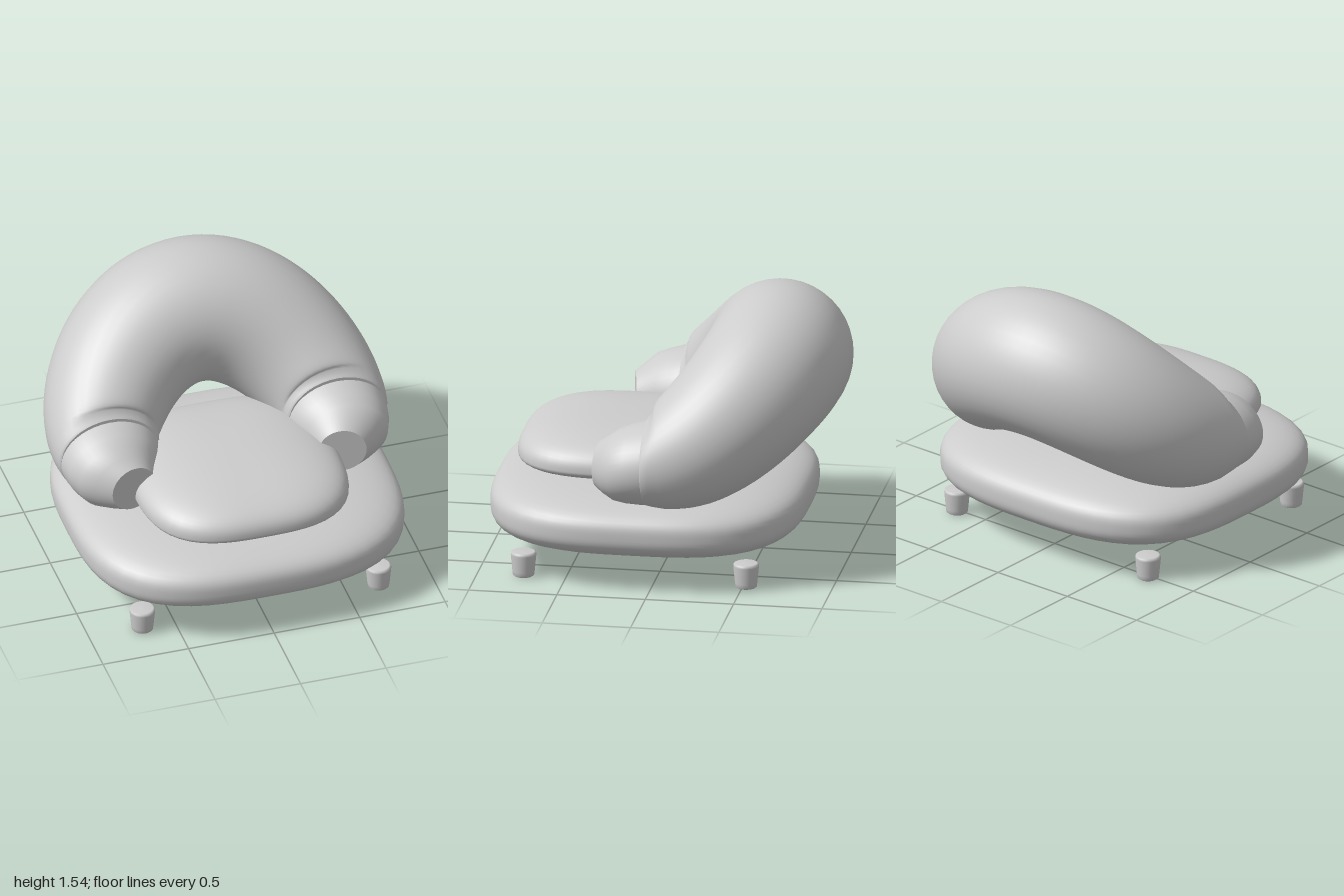
import * as THREE from 'three';
import { mergeVertices } from 'three/addons/utils/BufferGeometryUtils.js';

const fabric = new THREE.MeshStandardMaterial({ color: 0xcccccc });
fabric.name = 'light grey';

function part(geometry, name) {
  const mesh = new THREE.Mesh(geometry, fabric);
  mesh.name = name;
  return mesh;
}

// Plump cushion: a sphere pushed out to a rounded box, with its own top and bottom heights
function cushion(halfX, halfZ, top, bottom, plan, side) {
  let g = new THREE.SphereGeometry(1, 64, 40);
  const p = g.attributes.position;
  for (let i = 0; i < p.count; i++) {
    const x = p.getX(i), y = p.getY(i), z = p.getZ(i);
    const flat = (Math.abs(x) ** plan + Math.abs(z) ** plan) ** (1 / plan);
    const k = 1 / (flat ** side + Math.abs(y) ** side) ** (1 / side);
    p.setXYZ(i, x * k * halfX, y * k * (y > 0 ? top : bottom), z * k * halfZ);
  }
  g.deleteAttribute('uv');
  g.deleteAttribute('normal');
  g = mergeVertices(g, 1e-5);
  g.computeVertexNormals();
  return g;
}

// Skin over closed rings of equal length; a repeated ring makes a sharp edge
function loft(rings) {
  const n = rings[0].length, index = [];
  for (let i = 0; i < rings.length - 1; i++) {
    for (let j = 0; j < n; j++) {
      const a = i * n + j, b = i * n + (j + 1) % n;
      index.push(a, b, a + n, b, b + n, a + n);
    }
  }
  const g = new THREE.BufferGeometry().setFromPoints(rings.flat());
  g.setIndex(index);
  g.computeVertexNormals();
  return g;
}

function ring(center, u, v, ru, rv, n = 40) {
  return Array.from({ length: n }, (_, j) => {
    const t = j / n * Math.PI * 2;
    return center.clone().addScaledVector(u, ru * Math.cos(t)).addScaledVector(v, rv * Math.sin(t));
  });
}

// Backrest: a fat horseshoe roll that leans back and thins towards the arms
function backrest() {
  const X = new THREE.Vector3(1, 0, 0), Y = new THREE.Vector3(0, 1, 0);
  const at = a => {
    const c = Math.max(Math.cos(a), 0);
    return new THREE.Vector3(0.665 * Math.sin(a), 0.72 + 0.41 * c ** 1.7, -0.59 * c);
  };
  const rings = [], steps = 56;
  for (let i = 0; i <= steps; i++) {
    const a = (i / steps - 0.5) * Math.PI, c = Math.max(Math.cos(a), 0);
    const t = at(Math.min(a + 0.01, Math.PI / 2)).sub(at(Math.max(a - 0.01, -Math.PI / 2))).normalize();
    const v = new THREE.Vector3(0, 0.81, 0.59);
    v.addScaledVector(t, -v.dot(t)).normalize();
    const u = v.clone().cross(t);
    rings.push(ring(at(a), u, v, 0.3 + 0.11 * c, 0.27 + 0.14 * c ** 0.7));
  }
  // short straight lips where the roll meets the arm ends
  const lip = (s, z, k) => ring(new THREE.Vector3(s * 0.665, 0.71, z),
    X.clone().multiplyScalar(s), Y, 0.295 * k, 0.25 * k);
  for (const [z, k] of [[0.035, 1], [0.045, 0.96], [0.045, 0.96], [0.045, 0]]) {
    rings.push(lip(1, z, k));
    rings.unshift(lip(-1, z, k));
  }
  return loft(rings);
}

// Arm end: a tapering cuff finished by a slanted flat disc
function armEnd(s) {
  const Y = new THREE.Vector3(0, 1, 0);
  // centre x, y, z, radius x, radius y, slant
  const sections = [
    [0.665, 0.7, 0.0, 0.28, 0.235, 0],
    [0.665, 0.695, 0.06, 0.285, 0.235, 0],
    [0.67, 0.685, 0.14, 0.265, 0.22, 0.03],
    [0.668, 0.677, 0.21, 0.235, 0.2, 0.1],
    [0.64, 0.665, 0.265, 0.185, 0.168, 0.16],
    [0.61, 0.655, 0.32, 0.132, 0.135, 0.2],
    [0.61, 0.655, 0.32, 0.132, 0.135, 0.2],
    [0.61, 0.655, 0.32, 0, 0, 0.2],
  ];
  return loft(sections.map(([x, y, z, rx, ry, slant]) =>
    ring(new THREE.Vector3(s * x, y, z), new THREE.Vector3(1, 0, s * slant), Y, rx, ry)));
}

// Small tapered foot with softened rims
function foot() {
  const profile = [[0, 0], [0.052, 0], [0.06, 0.006], [0.063, 0.03], [0.072, 0.125],
    [0.07, 0.138], [0.06, 0.143], [0, 0.145]];
  return new THREE.LatheGeometry(profile.map(([r, y]) => new THREE.Vector2(r, y)), 28);
}

export function createModel() {
  const chair = new THREE.Group();
  chair.name = 'armchair';

  const base = part(cushion(0.94, 0.89, 0.2, 0.2, 3, 3), 'base');
  base.position.set(0, 0.33, 0.11);
  const seat = part(cushion(0.6, 0.61, 0.19, 0.085, 3, 2.5), 'seatCushion');
  seat.position.set(0, 0.585, 0.25);
  chair.add(base, seat, part(backrest(), 'backrest'));

  for (const s of [1, -1]) {
    const side = s > 0 ? 'left' : 'right';
    chair.add(part(armEnd(s), side + 'ArmEnd'));
    for (const [z, place] of [[0.74, 'Front'], [-0.52, 'Back']]) {
      const leg = part(foot(), side + place + 'Foot');
      leg.position.set(s * 0.69, 0, z);
      chair.add(leg);
    }
  }
  return chair;
}
